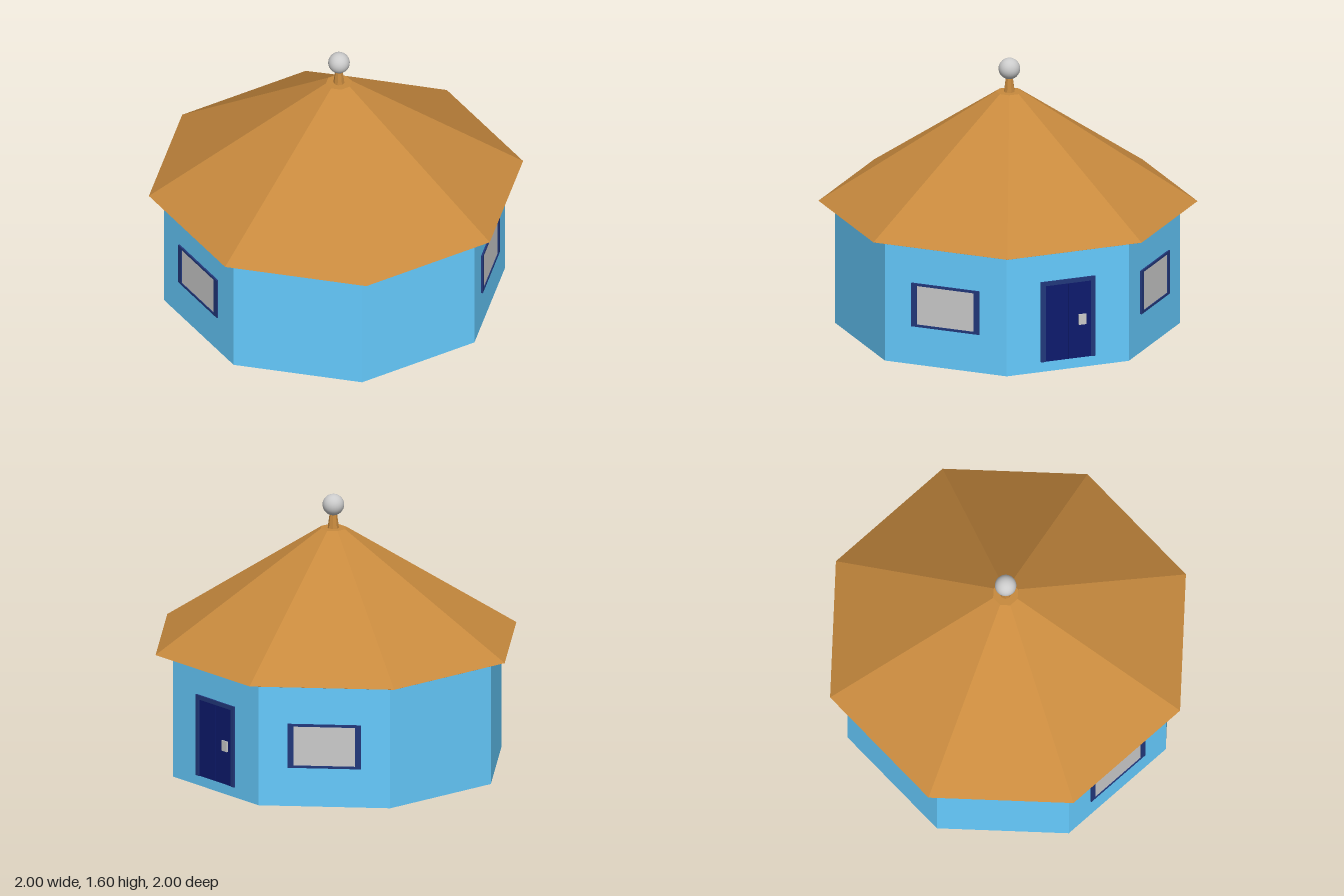
import * as THREE from 'three';

const WALL = 0.91;    // centre to wall face
const BODY_X = -0.01; // the body sits slightly off the roof centre
const APEX_X = 0.02;

const mat = (color) => new THREE.MeshStandardMaterial({ color, flatShading: true });
const blue = mat(0x66ccff), brown = mat(0xc88a3e), darkBrown = mat(0x8c6030);
const trim = mat(0x22387c), navy = mat(0x0d1a6e), grey = mat(0xcccccc);

function add(parent, name, geometry, material, x = 0, y = 0, z = 0) {
  const mesh = new THREE.Mesh(geometry, material);
  mesh.name = name;
  mesh.position.set(x, y, z);
  parent.add(mesh);
  return mesh;
}

// Octagonal frustum with flat sides facing the axes; sizes are centre-to-flat
function octagon(top, bottom, height, open = false) {
  const k = 1 / Math.cos(Math.PI / 8);
  return new THREE.CylinderGeometry(top * k, bottom * k, height, 8, 1, open, Math.PI / 8);
}

function rectangle(path, w, h) {
  path.moveTo(-w / 2, -h / 2);
  path.lineTo(w / 2, -h / 2);
  path.lineTo(w / 2, h / 2);
  path.lineTo(-w / 2, h / 2);
  path.closePath();
  return path;
}

const extrude = (shape, depth) => new THREE.ExtrudeGeometry(shape, { depth, bevelEnabled: false });

// Group whose local +z points out of the wall at the given angle
function onWall(name, angle) {
  const g = new THREE.Group();
  g.name = name;
  g.rotation.y = angle;
  g.position.set(BODY_X + Math.sin(angle) * WALL, 0, Math.cos(angle) * WALL);
  return g;
}

function makeWindow(angle) {
  const g = onWall('window', angle);
  const shape = rectangle(new THREE.Shape(), 0.42, 0.26);
  shape.holes.push(rectangle(new THREE.Path(), 0.354, 0.232));
  add(g, 'windowFrame', extrude(shape, 0.02), trim, 0, 0.36, -0.01);
  add(g, 'windowPane', new THREE.BoxGeometry(0.354, 0.232, 0.014), grey, 0, 0.36, -0.002);
  return g;
}

function makeDoor(angle) {
  const g = onWall('door', angle);
  // Frame around the sides and top
  const s = new THREE.Shape();
  [[-0.168, 0.06], [-0.14, 0.06], [-0.14, 0.515], [0.14, 0.515], [0.14, 0.06],
    [0.168, 0.06], [0.168, 0.54], [-0.168, 0.54]].forEach(([x, y], i) => (i ? s.lineTo(x, y) : s.moveTo(x, y)));
  s.closePath();
  add(g, 'doorFrame', extrude(s, 0.02), trim, 0, 0, -0.01);
  // Two leaves and a handle plate
  for (const side of [-1, 1]) {
    add(g, 'doorLeaf', new THREE.BoxGeometry(0.139, 0.455, 0.014), navy, side * 0.0705, 0.2875, -0.002);
  }
  add(g, 'doorHandle', new THREE.BoxGeometry(0.046, 0.062, 0.012), grey, 0.088, 0.289, 0.007);
  return g;
}

export function createModel() {
  const model = new THREE.Group();
  model.name = 'octagonalHut';

  add(model, 'walls', octagon(WALL, WALL, 0.72), blue, BODY_X, 0.36, 0);

  // Roof, leaning slightly towards its off-centre apex
  const roofH = 0.665;
  const roof = octagon(0.07, 1, roofH);
  const p = roof.attributes.position;
  for (let i = 0; i < p.count; i++) {
    p.setX(i, p.getX(i) + APEX_X * (p.getY(i) / roofH + 0.5));
  }
  roof.computeVertexNormals();
  add(model, 'roof', roof, brown, 0, 0.735 + roofH / 2, 0);
  add(model, 'eaves', octagon(0.998, WALL, 0.02), darkBrown, 0, 0.724, 0);

  // Finial
  add(model, 'finialPost', new THREE.CylinderGeometry(0.02, 0.033, 0.1, 8), brown, APEX_X, 1.445, 0);
  const ball = add(model, 'finialBall', new THREE.SphereGeometry(0.062, 24, 16), grey.clone(), APEX_X, 1.537, 0);
  ball.material.flatShading = false;

  // Openings: door on +x, windows either side of it and one opposite
  model.add(makeDoor(Math.PI / 2));
  for (const a of [Math.PI / 4, Math.PI * 0.75, -Math.PI / 2]) model.add(makeWindow(a));

  return model;
}
